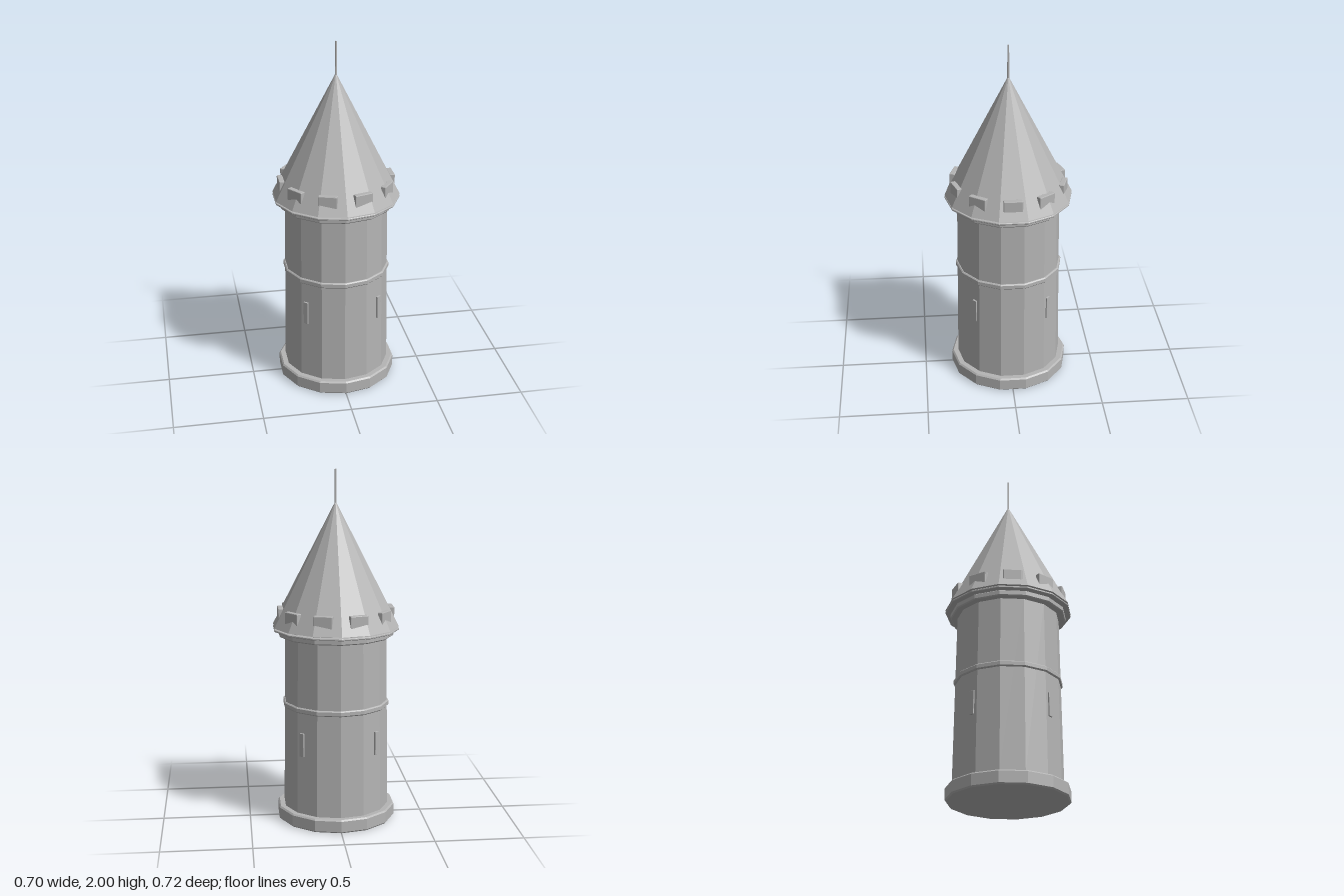
import * as THREE from 'three';
import { RoundedBoxGeometry } from 'three/addons/geometries/RoundedBoxGeometry.js';

const SIDES = 14;

export function createModel() {
  const tower = new THREE.Group();
  tower.name = 'tower';
  const stone = new THREE.MeshStandardMaterial({ color: 0xb4b4b4, flatShading: true });
  stone.name = 'grey stone';

  const add = (name, geometry, parent = tower) => {
    const mesh = new THREE.Mesh(geometry, stone);
    mesh.name = name;
    parent.add(mesh);
    return mesh;
  };

  // Closed fourteen-sided disc with chamfered rims
  const band = (name, radius, y0, y1, c) => {
    const profile = [[0, y0], [radius - c, y0], [radius, y0 + c], [radius, y1 - c], [radius - c, y1], [0, y1]];
    return add(name, new THREE.LatheGeometry(profile.map(([r, y]) => new THREE.Vector2(r, y)), SIDES));
  };

  // Straight-sided or tapering drum
  const drum = (name, rTop, rBottom, y0, y1, sides = SIDES) => {
    const mesh = add(name, new THREE.CylinderGeometry(rTop, rBottom, y1 - y0, sides));
    mesh.position.y = (y0 + y1) / 2;
    return mesh;
  };

  // Chamfered blocks spaced evenly around the wall
  const blocksAround = (name, count, start, radius, y, [w, h, d], c) => {
    const group = new THREE.Group();
    group.name = name + 's';
    const geometry = new RoundedBoxGeometry(w, h, d, 1, c);
    for (let i = 0; i < count; i++) {
      const a = start + (i / count) * Math.PI * 2;
      const block = add(name, geometry, group);
      block.position.set(Math.sin(a) * radius, y, Math.cos(a) * radius);
      block.rotation.y = a;
    }
    tower.add(group);
  };

  // Foot, wall and stone courses
  band('base', 0.34, 0, 0.078, 0.008);
  drum('wall', 0.29, 0.303, 0.07, 1.08);
  band('middleCourse', 0.305, 0.665, 0.697, 0.006);
  band('upperCourse', 0.33, 1.073, 1.107, 0.006);
  band('parapetFloor', 0.36, 1.105, 1.117, 0.003);

  // Battlements, starting square to +x
  blocksAround('merlon', 10, Math.PI / 2, 0.3125, 1.172, [0.106, 0.12, 0.031], 0.004);

  // Window slits on the diagonals
  blocksAround('windowSlit', 4, Math.PI / 4, 0.287, 0.483, [0.028, 0.135, 0.028], 0.001);

  // Pointed roof and spire
  const roof = add('roof', new THREE.ConeGeometry(0.36, 0.7, SIDES));
  roof.position.y = 1.125 + 0.35;
  drum('spire', 0.005, 0.006, 1.79, 2, 8);

  return tower;
}
